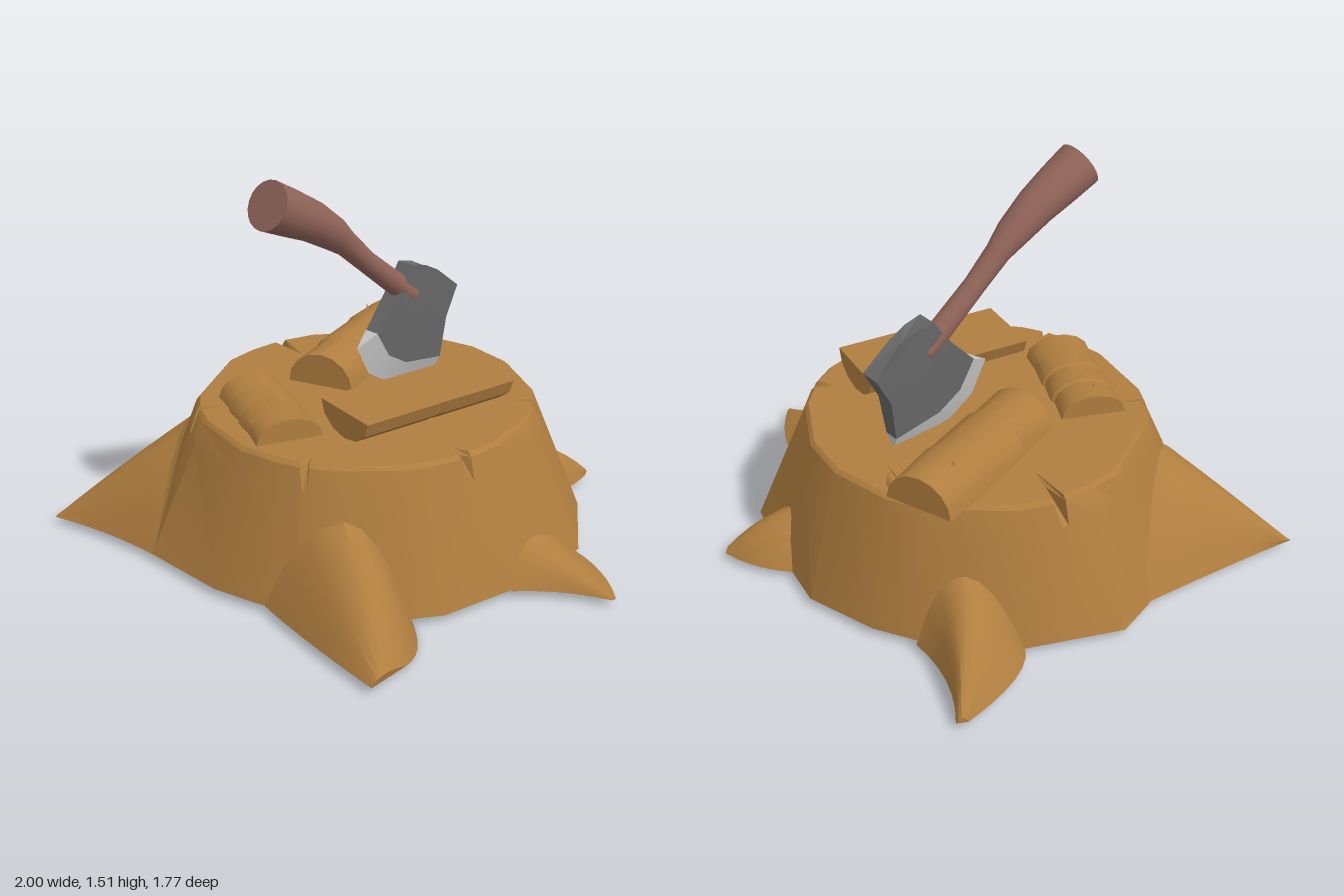
import * as THREE from 'three';
import { toCreasedNormals } from 'three/addons/utils/BufferGeometryUtils.js';

const V = (x, y, z) => new THREE.Vector3(x, y, z);
const BASE = 0.03, TOP = 0.555, CX = -0.12;

// Skins a stack of closed rings with equal point counts, capped at both ends and facing outward
function loft(rings, crease = 0.5) {
  const tris = [], n = rings[0].length;
  const tri = (a, b, c) => {
    const area = b.clone().sub(a).cross(c.clone().sub(a)).length();
    if (area > 1e-8) tris.push([a, b, c]);
  };
  for (let r = 0; r < rings.length - 1; r++) {
    for (let i = 0; i < n; i++) {
      const j = (i + 1) % n, a = rings[r], b = rings[r + 1];
      tri(a[i], a[j], b[j]);
      tri(a[i], b[j], b[i]);
    }
  }
  const cap = (ring, flip) => {
    const c = ring.reduce((s, p) => s.add(p), V(0, 0, 0)).divideScalar(n);
    ring.forEach((p, i) => {
      const q = ring[(i + 1) % n];
      if (flip) tri(c, q, p); else tri(c, p, q);
    });
  };
  cap(rings[0], true);
  cap(rings[rings.length - 1], false);
  const o = rings[0][0];
  const volume = tris.reduce((s, [a, b, c]) =>
    s + a.clone().sub(o).dot(b.clone().sub(o).cross(c.clone().sub(o))), 0);
  const pts = tris.flatMap(([a, b, c]) => (volume < 0 ? [a, c, b] : [a, b, c]));
  return toCreasedNormals(new THREE.BufferGeometry().setFromPoints(pts), crease);
}

// Stump: irregular base outline rising to a round top with chipped notches
function stumpGeometry() {
  const base = [
    [-0.12, -0.79], [0.12, -0.74], [0.45, -0.64], [0.68, -0.34], [0.70, 0], [0.62, 0.37],
    [0.55, 0.47], [0.33, 0.68], [0.08, 0.77], [-0.12, 0.81], [-0.49, 0.80], [-0.72, 0.6],
    [-0.93, 0.17], [-0.98, 0], [-0.83, -0.35], [-0.56, -0.62], [-0.40, -0.71],
  ];
  const notches = { 2: 0.07, 4: 0.06, 7: 0.06, 10: 0.09, 13: 0.17 };
  const bottom = [], middle = [], rim = [], top = [];
  const add = (p, depth) => {
    const b = V(p.x, BASE, p.y);
    const dir = V(p.x - CX, 0, p.y).normalize();
    const t = V(CX, TOP, 0).addScaledVector(dir, 0.64);
    const r = V(CX, TOP - 0.015, 0).addScaledVector(dir, 0.655);
    bottom.push(b);
    middle.push(b.clone().lerp(r, 0.82));
    rim.push(r.addScaledVector(dir, -depth * 0.6));
    top.push(t.addScaledVector(dir, -depth));
  };
  base.forEach((p, i) => {
    const a = new THREE.Vector2(...p), b = new THREE.Vector2(...base[(i + 1) % base.length]);
    add(a, 0);
    if (notches[i]) {
      [0.42, 0.5, 0.58].forEach((t) => add(a.clone().lerp(b, t), t === 0.5 ? notches[i] : 0));
    }
  });
  return loft([bottom, middle, rim, top], 0.45);
}

// Root: arched sections shrinking from the stump wall to a tip; a and b are its two foot lines
function rootGeometry({ a, b, ridge }) {
  const [left, right, crest] = [a, b, ridge].map((c) =>
    new THREE.QuadraticBezierCurve3(...c.map((p) => V(...p))));
  const rings = [];
  for (let k = 0; k <= 6; k++) {
    const l = left.getPoint(k / 6), r = right.getPoint(k / 6), c = crest.getPoint(k / 6);
    const ctrl = c.multiplyScalar(2).sub(l.clone().add(r).multiplyScalar(0.5));
    rings.push(new THREE.QuadraticBezierCurve3(l, ctrl, r).getPoints(8));
  }
  return loft(rings, 0.6);
}

// Split log: half-round section run between two points; steps are [position, scale]
function logGeometry(from, to, halfWidth, height, sides, steps) {
  const p0 = V(...from), p1 = V(...to);
  const across = V(0, 1, 0).cross(p1.clone().sub(p0)).normalize();
  return loft(steps.map(([t, s]) => {
    const c = p0.clone().lerp(p1, t), ring = [];
    for (let i = 0; i <= sides; i++) {
      const ang = (i / sides) * Math.PI;
      const p = c.clone().addScaledVector(across, Math.cos(ang) * halfWidth * s);
      p.y += Math.sin(ang) * height * s;
      ring.push(p);
    }
    return ring;
  }), 0.55);
}

// Handle: round sections square to a bent path of [z, y, radius]
function handleGeometry() {
  const path = [
    [0.49, 1.43, 0.093], [0.39, 1.38, 0.087], [0.28, 1.323, 0.077], [0.165, 1.245, 0.063],
    [0.10, 1.19, 0.048], [-0.01, 1.09, 0.042], [-0.17, 0.96, 0.045], [-0.25, 0.90, 0.045],
  ];
  return loft(path.map(([z, y, r], i) => {
    const a = path[Math.max(i - 1, 0)], b = path[Math.min(i + 1, path.length - 1)];
    const normal = V(0, b[0] - a[0], a[1] - b[1]).normalize();
    return Array.from({ length: 20 }, (_, k) => {
      const ang = (k / 20) * Math.PI * 2;
      return V(CX + Math.cos(ang) * r, y, z).addScaledVector(normal, Math.sin(ang) * r);
    });
  }), 0.8);
}

// Axe head: rows of [z, y] points from poll to cutting edge, each with a half thickness
const headRows = [
  { w: 0.04, pts: [[-0.23, 1.03], [-0.30, 1.012], [-0.37, 0.975], [-0.49, 0.88]] },
  { w: 0.04, pts: [[-0.15, 0.92], [-0.24, 0.87], [-0.32, 0.83], [-0.425, 0.76]] },
  { w: 0.03, pts: [[-0.035, 0.80], [-0.10, 0.69], [-0.20, 0.63], [-0.40, 0.595]] },
  { w: 0.002, pts: [[0.045, 0.755], [-0.02, 0.63], [-0.13, 0.56], [-0.39, 0.53]] },
];
const headGeometry = (rows) => loft(rows.map(({ w, pts }) => [
  ...pts.map(([z, y]) => V(CX + w, y, z)),
  ...pts.map(([z, y]) => V(CX - w, y, z)).reverse(),
]), 0.3);

export function createModel() {
  const mat = (name, color) => {
    const m = new THREE.MeshStandardMaterial({ color });
    m.name = name;
    return m;
  };
  const wood = mat('wood', 0xb07e3f);
  const handleWood = mat('handleWood', 0x8f6358);
  const iron = mat('iron', 0x666666);
  const steel = mat('steel', 0xc6c6c6);

  const model = new THREE.Group();
  model.name = 'choppingStump';
  const add = (name, geometry, material, parent = model) => {
    const mesh = new THREE.Mesh(geometry, material);
    mesh.name = name;
    parent.add(mesh);
    return mesh;
  };

  add('stump', stumpGeometry(), wood);

  const roots = {
    frontLeftRoot: {
      a: [[0.08, BASE, 0.76], [0.3, BASE, 0.82], [0.74, BASE, 0.88]],
      b: [[0.55, 0, 0.46], [0.70, 0, 0.57], [0.735, BASE, 0.70]],
      ridge: [[0.30, 0.37, 0.56], [0.50, 0.30, 0.68], [0.745, 0.06, 0.82]],
    },
    frontRightRoot: {
      a: [[-0.48, BASE, 0.80], [-0.75, BASE, 0.80], [-1, BASE, 0.87]],
      b: [[-0.92, BASE, 0.16], [-0.95, BASE, 0.5], [-0.99, BASE, 0.82]],
      ridge: [[-0.65, 0.43, 0.47], [-0.80, 0.28, 0.64], [-1, 0.04, 0.85]],
    },
    backRightRoot: {
      a: [[-0.57, BASE, -0.64], [-0.80, BASE, -0.64], [-0.97, BASE, -0.78]],
      b: [[-0.83, BASE, -0.35], [-0.95, BASE, -0.42], [-0.99, BASE, -0.74]],
      ridge: [[-0.62, 0.30, -0.46], [-0.80, 0.24, -0.58], [-0.98, 0.05, -0.76]],
    },
    backLeftRoot: {
      a: [[0.01, BASE, -0.71], [0.14, BASE, -0.86], [0.31, BASE, -0.89]],
      b: [[0.32, BASE, -0.64], [0.36, BASE, -0.72], [0.325, BASE, -0.86]],
      ridge: [[0.18, 0.21, -0.63], [0.25, 0.17, -0.78], [0.32, 0.05, -0.87]],
    },
    leftRoot: {
      a: [[0.68, BASE, -0.32], [0.86, BASE, -0.28], [1, BASE, -0.14]],
      b: [[0.69, BASE, 0.08], [0.82, BASE, -0.06], [1, BASE, -0.12]],
      ridge: [[0.655, 0.18, -0.08], [0.80, 0.10, -0.12], [1, 0.035, -0.13]],
    },
  };
  for (const [name, spec] of Object.entries(roots)) add(name, rootGeometry(spec), wood);

  // Split logs lying on the stump
  add('longLog', logGeometry([-0.50, 0.56, -0.57], [-0.29, 0.56, 0.08], 0.142, 0.135, 8,
    [[0, 0.95], [0.3, 1.02], [0.34, 0.98], [0.7, 1.01], [0.72, 0.95], [1, 0.97]]), wood);
  add('shortLog', logGeometry([-0.445, 0.56, 0.31], [-0.02, 0.56, 0.505], 0.128, 0.085, 7,
    [[0, 0.98], [0.26, 0.92], [0.28, 1], [0.52, 0.94], [0.54, 1], [0.78, 0.95], [1, 1]]), wood);
  add('upturnedLog', logGeometry([0.255, 0.677, -0.29], [0.125, 0.677, 0.37], 0.148, -0.107, 6,
    [[0, 1], [0.48, 1], [0.5, 0.97], [0.52, 1], [1, 1]]), wood);

  // Bark stubs on the logs
  [[-0.34, 0.62, -0.57, -0.5], [-0.50, 0.67, -0.42, 0.4], [-0.38, 0.62, 0.36, 0.3]].forEach(
    ([x, y, z, tilt], i) => {
      const stub = add('barkStub' + (i + 1), new THREE.ConeGeometry(0.03, 0.07, 4), wood);
      stub.position.set(x, y, z);
      stub.rotation.z = tilt;
    });

  // Axe stuck in the stump
  const axe = new THREE.Group();
  axe.name = 'axe';
  model.add(axe);
  add('handle', handleGeometry(), handleWood, axe);
  add('axeHead', headGeometry(headRows.slice(0, 3)), iron, axe);
  add('cuttingEdge', headGeometry(headRows.slice(2)), steel, axe);

  return model;
}
